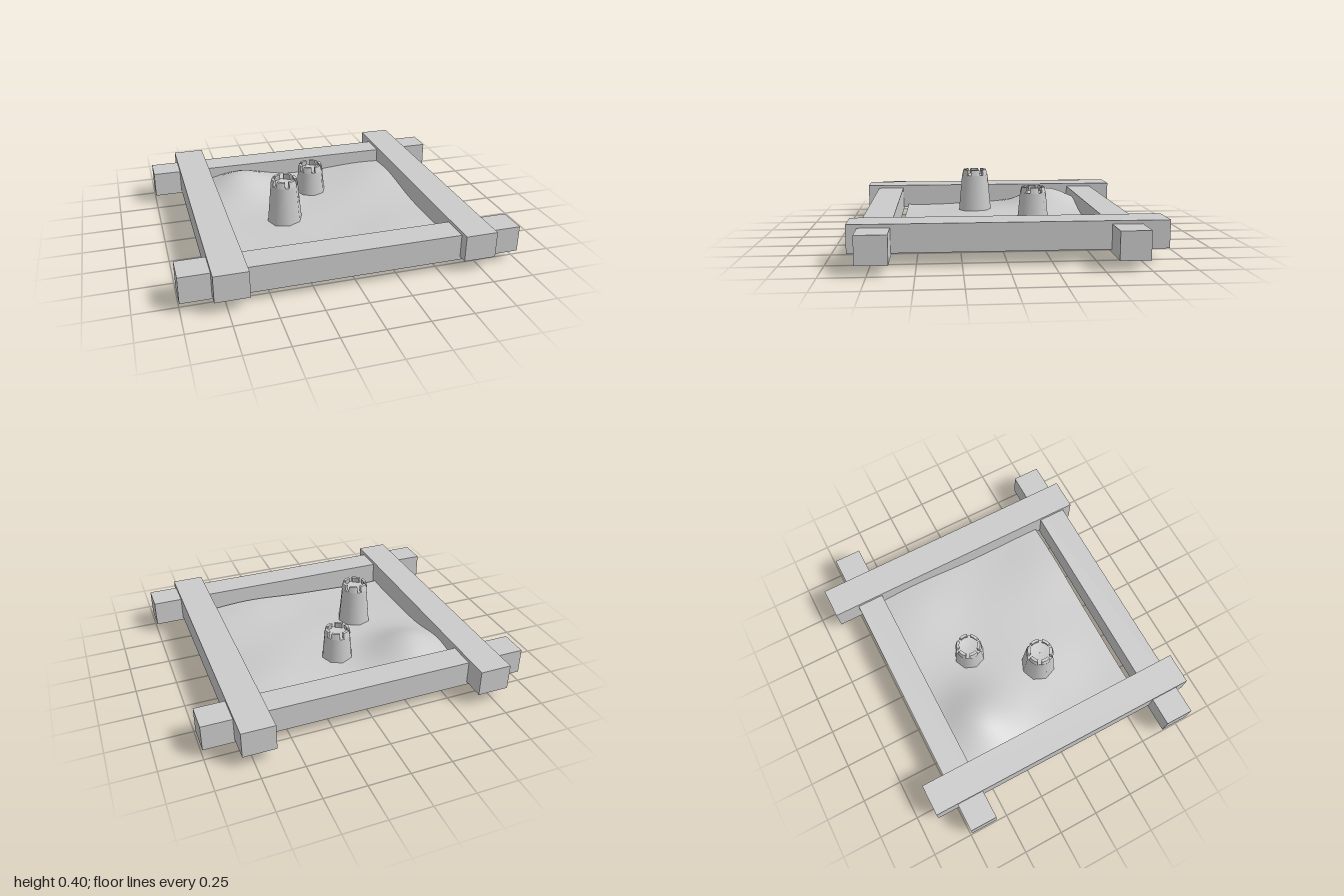
import * as THREE from 'three';

const grey = new THREE.MeshStandardMaterial({ color: 0xcccccc, side: THREE.DoubleSide });

function add(parent, name, geometry) {
  const mesh = new THREE.Mesh(geometry, grey);
  mesh.name = name;
  parent.add(mesh);
  return mesh;
}

// Timber given by its extents on each axis
function beam(parent, name, [x0, x1], [y0, y1], [z0, z1]) {
  const mesh = add(parent, name, new THREE.BoxGeometry(x1 - x0, y1 - y0, z1 - z0));
  mesh.position.set((x0 + x1) / 2, (y0 + y1) / 2, (z0 + z1) / 2);
}

// Smooth mounds and hollows: x, z, height, spread
const mounds = [
  [-0.42, -0.38, 0.132, 0.17],
  [0.5, -0.35, 0.045, 0.22],
  [-0.2, 0.15, 0.018, 0.2],
  [0.15, 0.05, 0.015, 0.18],
  [0.35, 0.5, 0.03, 0.2],
  [-0.5, 0.45, -0.015, 0.2],
];
function sandHeight(x, z) {
  return mounds.reduce((y, [mx, mz, h, s]) =>
    y + h * Math.exp(-((x - mx) ** 2 + (z - mz) ** 2) / (2 * s * s)), 0.108);
}

function sandSurface() {
  const g = new THREE.PlaneGeometry(1.36, 1.25, 32, 32).rotateX(-Math.PI / 2).translate(0, 0, -0.025);
  const p = g.attributes.position;
  for (let i = 0; i < p.count; i++) p.setY(i, sandHeight(p.getX(i), p.getZ(i)));
  g.computeVertexNormals();
  return g;
}

// One tooth of the battlement: a ring sector, extruded upward and leaning inward
function toothGeometry(angle, width, outer, inner, height) {
  const shape = new THREE.Shape();
  shape.absarc(0, 0, outer, angle - width / 2, angle + width / 2, false);
  shape.absarc(0, 0, inner, angle + width / 2, angle - width / 2, true);
  shape.closePath();
  const g = new THREE.ExtrudeGeometry(shape, { depth: height, bevelEnabled: false, curveSegments: 2 });
  g.rotateX(-Math.PI / 2);
  const p = g.attributes.position;
  for (let i = 0; i < p.count; i++) {
    const k = 1 - 0.1 * p.getY(i) / height;
    p.setX(i, p.getX(i) * k);
    p.setZ(i, p.getZ(i) * k);
  }
  g.computeVertexNormals();
  return g;
}

// Hollow sand tower, open below, with a dished top
function tower(parent, name, x, y, z, scale) {
  const group = new THREE.Group();
  group.name = name;
  const wall = add(group, 'towerWall', new THREE.CylinderGeometry(0.084, 0.11, 0.28, 8, 1, true));
  wall.position.y = 0.14;
  const dish = [[0.001, 0.272], [0.045, 0.274], [0.064, 0.28], [0.084, 0.28]];
  add(group, 'towerTop', new THREE.LatheGeometry(dish.map(([r, h]) => new THREE.Vector2(r, h)), 8));
  for (let i = 0; i < 6; i++) {
    const tooth = add(group, 'battlement', toothGeometry(i * Math.PI / 3, 0.72, 0.083, 0.064, 0.036));
    tooth.position.y = 0.279;
  }
  group.position.set(x, y, z);
  group.scale.setScalar(scale);
  parent.add(group);
}

export function createModel() {
  const model = new THREE.Group();
  model.name = 'sandpit';

  // Frame: two lower cross beams and two raised side beams
  beam(model, 'backBeam', [-1, 1], [0.06, 0.22], [-0.74, -0.57]);
  beam(model, 'frontBeam', [-1, 1], [0.06, 0.22], [0.635, 0.81]);
  beam(model, 'rightBeam', [-0.825, -0.63], [0.08, 0.24], [-0.88, 0.885]);
  beam(model, 'leftBeam', [0.625, 0.82], [0.08, 0.24], [-0.895, 0.87]);

  add(model, 'sand', sandSurface());

  tower(model, 'tallTower', -0.255, 0.075, 0.13, 1.03);
  tower(model, 'shortTower', 0.015, 0, -0.235, 1);
  return model;
}
